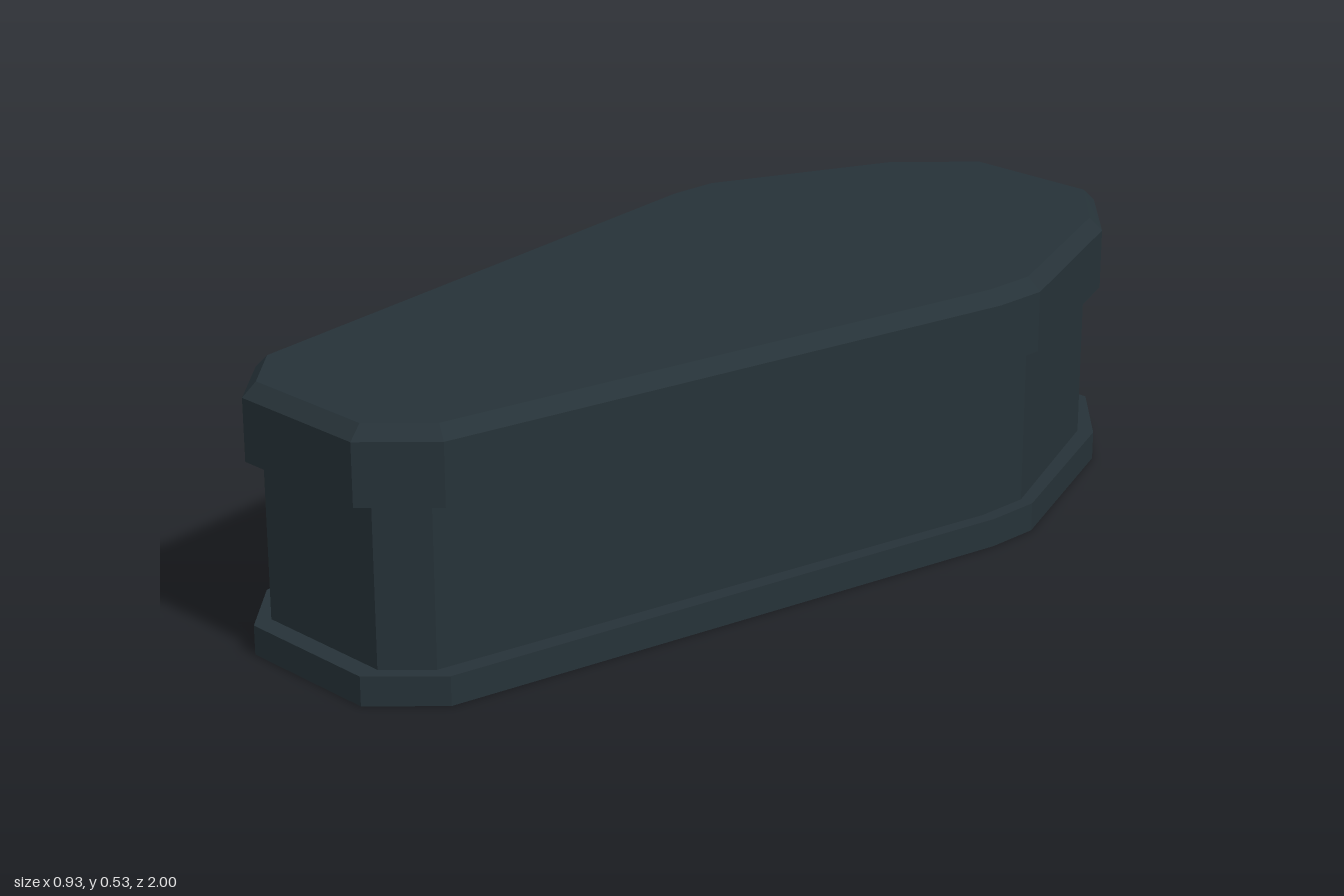
import * as THREE from 'three';

// Half outlines [x, z] running from the front end to the back end on the +x side
const RIM = [[0.152, 1], [0.263, 0.885], [0.463, -0.34], [0.463, -0.455], [0.3, -0.845], [0.152, -1]];
const BODY = [[0.152, 0.96], [0.226, 0.885], [0.434, -0.34], [0.434, -0.455], [0.27, -0.83], [0.152, -0.96]];
const LID_TOP = [[0.145, 0.973], [0.24, 0.875], [0.436, -0.34], [0.436, -0.45], [0.278, -0.83], [0.145, -0.973]];

// Mirror a half outline into a closed loop
const mirror = (half) => [...half, ...half.map(([x, z]) => [-x, z]).reverse()];

// Solid through stacked levels { y, half }, closed at both ends, with hard facets
function loft(levels) {
  const rings = levels.map(({ y, half }) => mirror(half).map(([x, z]) => [x, y, z]));
  const n = rings[0].length;
  const top = rings[rings.length - 1];
  const bottom = rings[0];
  const pos = [];
  const tri = (a, b, c) => pos.push(...a, ...b, ...c);
  for (let r = 0; r < rings.length - 1; r++) {
    for (let i = 0; i < n; i++) {
      const j = (i + 1) % n;
      tri(rings[r][i], rings[r][j], rings[r + 1][j]);
      tri(rings[r][i], rings[r + 1][j], rings[r + 1][i]);
    }
  }
  for (let i = 1; i < n - 1; i++) {
    tri(top[0], top[i], top[i + 1]);
    tri(bottom[0], bottom[i + 1], bottom[i]);
  }
  const geometry = new THREE.BufferGeometry();
  geometry.setAttribute('position', new THREE.Float32BufferAttribute(pos, 3));
  geometry.computeVertexNormals();
  return geometry;
}

export function createModel() {
  const slate = new THREE.MeshStandardMaterial({ color: 0x263238, flatShading: true });
  slate.name = 'dark slate';
  const model = new THREE.Group();
  model.name = 'coffin';

  const add = (name, levels) => {
    const mesh = new THREE.Mesh(loft(levels), slate);
    mesh.name = name;
    model.add(mesh);
  };

  // Plinth, recessed walls, then the overhanging lid with a bevelled top edge
  add('base', [{ y: 0, half: RIM }, { y: 0.058, half: RIM }]);
  add('body', [{ y: 0.058, half: BODY }, { y: 0.378, half: BODY }]);
  add('lid', [{ y: 0.378, half: RIM }, { y: 0.5, half: RIM }, { y: 0.526, half: LID_TOP }]);

  return model;
}
